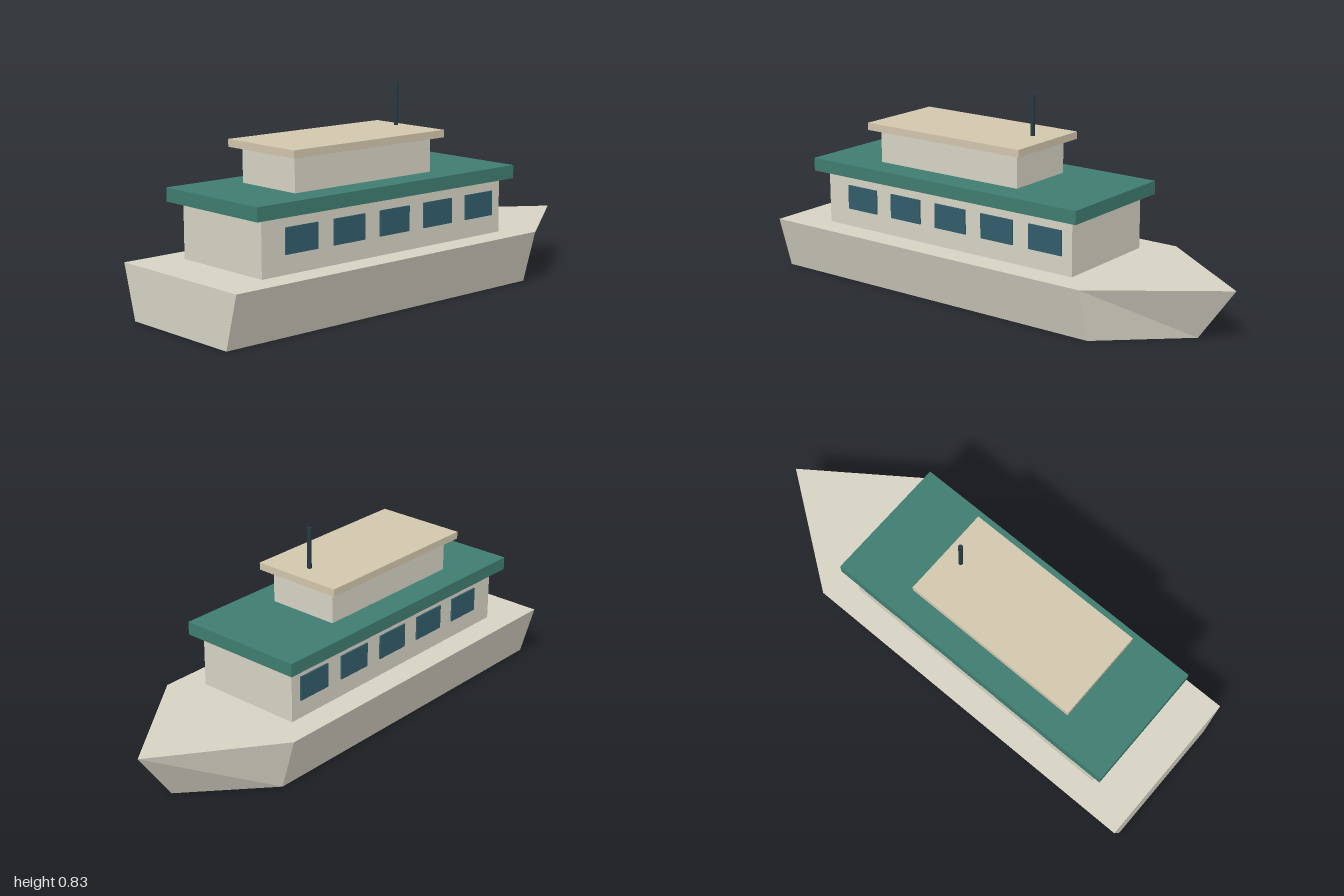
import * as THREE from 'three';

const paint = (color) => new THREE.MeshStandardMaterial({ color, flatShading: true });

export function createModel() {
  const boat = new THREE.Group();
  boat.name = 'boat';
  const cream = paint(0xd6d3c4);
  const teal = paint(0x3f7d70);
  const tan = paint(0xd2c6ad);
  const glass = paint(0x315d6b);
  const dark = paint(0x263a42);

  const add = (name, geometry, material) => {
    const mesh = new THREE.Mesh(geometry, material);
    mesh.name = name;
    boat.add(mesh);
    return mesh;
  };

  // Box given by its x range, y range and half depth
  const block = (name, x0, x1, y0, y1, halfZ, material) =>
    add(name, new THREE.BoxGeometry(x1 - x0, y1 - y0, halfZ * 2), material)
      .position.set((x0 + x1) / 2, (y0 + y1) / 2, 0);

  // Hull: deck outline extruded upward, then narrowed and raked at the keel
  const outline = new THREE.Shape([
    new THREE.Vector2(-1, -0.338),
    new THREE.Vector2(0.535, -0.338),
    new THREE.Vector2(1, 0),
    new THREE.Vector2(0.535, 0.338),
    new THREE.Vector2(-1, 0.338),
  ]);
  const hull = new THREE.ExtrudeGeometry(outline, { depth: 0.215, bevelEnabled: false });
  hull.rotateX(-Math.PI / 2);
  const p = hull.attributes.position;
  for (let i = 0; i < p.count; i++) {
    if (p.getY(i) > 0.1) continue;
    p.setZ(i, p.getZ(i) * 0.82);
    if (p.getX(i) > 0.9) p.setX(i, 0.845);
  }
  hull.computeVertexNormals();
  add('hull', hull, cream);

  // Two stacked cabins with overhanging roofs
  block('mainCabin', -0.802, 0.43, 0.215, 0.431, 0.231, cream);
  block('mainRoof', -0.85, 0.472, 0.435, 0.489, 0.27, teal);
  block('upperCabin', -0.58, 0.113, 0.489, 0.625, 0.153, cream);
  block('upperRoof', -0.616, 0.151, 0.626, 0.656, 0.193, tan);

  // Windows along both sides of the main cabin
  const pane = new THREE.BoxGeometry(0.154, 0.1, 0.012);
  for (const side of [1, -1]) {
    for (let i = 0; i < 5; i++) {
      add(side > 0 ? 'frontWindow' : 'backWindow', pane, glass)
        .position.set(-0.617 + i * 0.231, 0.34, side * 0.231);
    }
  }

  // Mast
  add('mast', new THREE.CylinderGeometry(0.009, 0.009, 0.168, 12), dark)
    .position.set(0.074, 0.748, 0);

  return boat;
}
